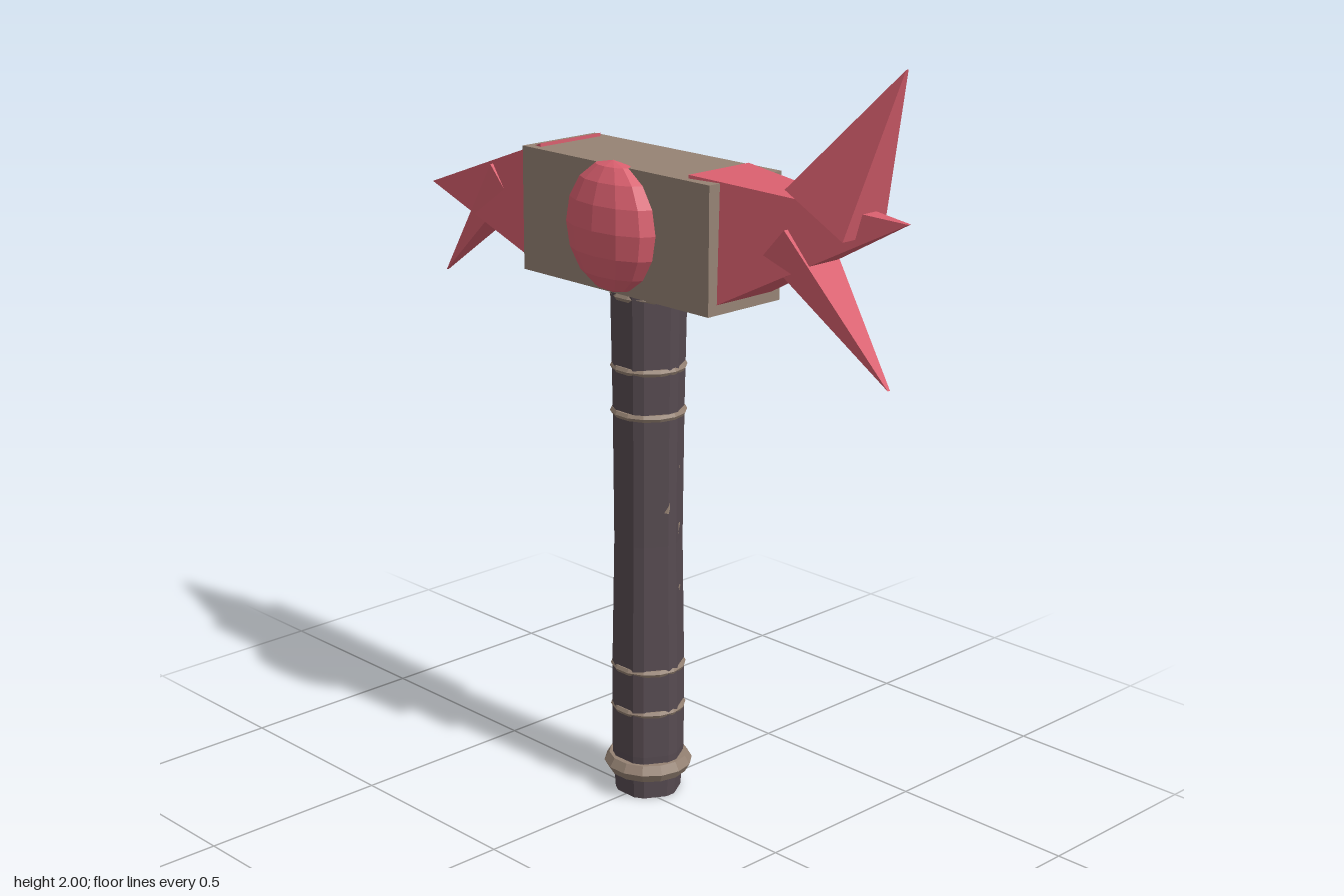
import * as THREE from 'three';
import { ConvexGeometry } from 'three/addons/geometries/ConvexGeometry.js';

const CZ = -0.037; // depth of the handle axis

export function createModel() {
  const group = new THREE.Group();
  const mat = (name, color, opts = {}) =>
    Object.assign(new THREE.MeshStandardMaterial({ color, flatShading: true, ...opts }), { name });
  const crystal = mat('crystal red', 0xd95f6e);
  const stone = mat('warm stone', 0x968374);
  const grip = mat('dark grip', 0x574b51, { side: THREE.DoubleSide });

  const add = (name, geometry, material, x = 0, y = 0, z = 0) => {
    const mesh = new THREE.Mesh(geometry, material);
    mesh.name = name;
    mesh.position.set(x, y, z);
    group.add(mesh);
    return mesh;
  };

  // Handle: six broad faces with narrow bevels between them
  const profile = [[0, 0], [0.086, 0], [0.094, 0.12], [0.094, 0.35], [0.088, 0.7], [0.091, 1.05], [0.097, 1.38]];
  const handle = new THREE.LatheGeometry(profile.map(p => new THREE.Vector2(...p)), 12);
  const pos = handle.attributes.position;
  for (let i = 0; i < pos.count; i++) {
    const r = Math.hypot(pos.getX(i), pos.getZ(i));
    const k = Math.floor(i / profile.length) % 12;
    const angle = THREE.MathUtils.degToRad(30 + 60 * Math.floor(k / 2) + (k % 2 ? 9 : -9));
    pos.setXYZ(i, r * Math.sin(angle), pos.getY(i), r * Math.cos(angle));
  }
  handle.computeVertexNormals();
  add('handle', handle, grip, 0, 0, CZ);

  // Bands around the handle
  const band = (name, y, radius, tube) =>
    add(name, new THREE.TorusGeometry(radius, tube, 6, 14).rotateX(Math.PI / 2), stone, 0, y, CZ);
  band('pommelBand', 0.078, 0.09, 0.026);
  [0.24, 0.355, 1.045, 1.163, 1.35].forEach(y => band('gripBand', y, 0.088, 0.01));

  // Scratches on the left face of the handle
  const scratches = [
    [[0.086, 0.79, -0.018], [0.073, 0.905, -0.071]],
    [[0.082, 0.68, -0.045], [0.07, 0.75, -0.075]],
    [[0.083, 0.52, -0.045], [0.072, 0.58, -0.075]],
  ];
  for (const [a, b] of scratches) {
    const from = new THREE.Vector3(...a), to = new THREE.Vector3(...b);
    const mark = add('scratch', new THREE.BoxGeometry(0.008, 0.008, from.distanceTo(to)), stone);
    mark.position.lerpVectors(from, to, 0.5);
    mark.lookAt(to);
  }

  // Head block and front gem
  add('headBlock', new THREE.BoxGeometry(0.66, 0.318, 0.245), stone, 0, 1.529, CZ);
  add('gem', new THREE.SphereGeometry(1, 12, 8).scale(0.152, 0.165, 0.073), crystal, 0, 1.535, 0.083);

  // Spike: rectangular base edge a-b in the front plane, tapering to a tip
  const spike = (name, a, b, half, tip, tipZ = CZ) => {
    const pts = [];
    for (const s of [-1, 1]) {
      for (const [x, y] of [a, b]) pts.push(new THREE.Vector3(x, y, CZ + s * half));
      pts.push(new THREE.Vector3(tip[0], tip[1], tipZ + s * 0.004));
    }
    add(name, new ConvexGeometry(pts), crystal);
  };
  spike('leftMainSpike', [0.24, 1.697], [0.285, 1.372], 0.102, [0.835, 1.66]);
  spike('rightMainSpike', [-0.285, 1.697], [-0.285, 1.38], 0.102, [-0.84, 1.502]);
  spike('leftUpperSpike', [0.52, 1.7], [0.7, 1.607], 0.07, [0.805, 2.0], -0.047);
  for (const s of [-1, 1])
    spike('lowerSpike', [0.52 * s, 1.605], [0.455 * s, 1.535], 0.07, [0.79 * s, 1.265]);

  return group;
}
